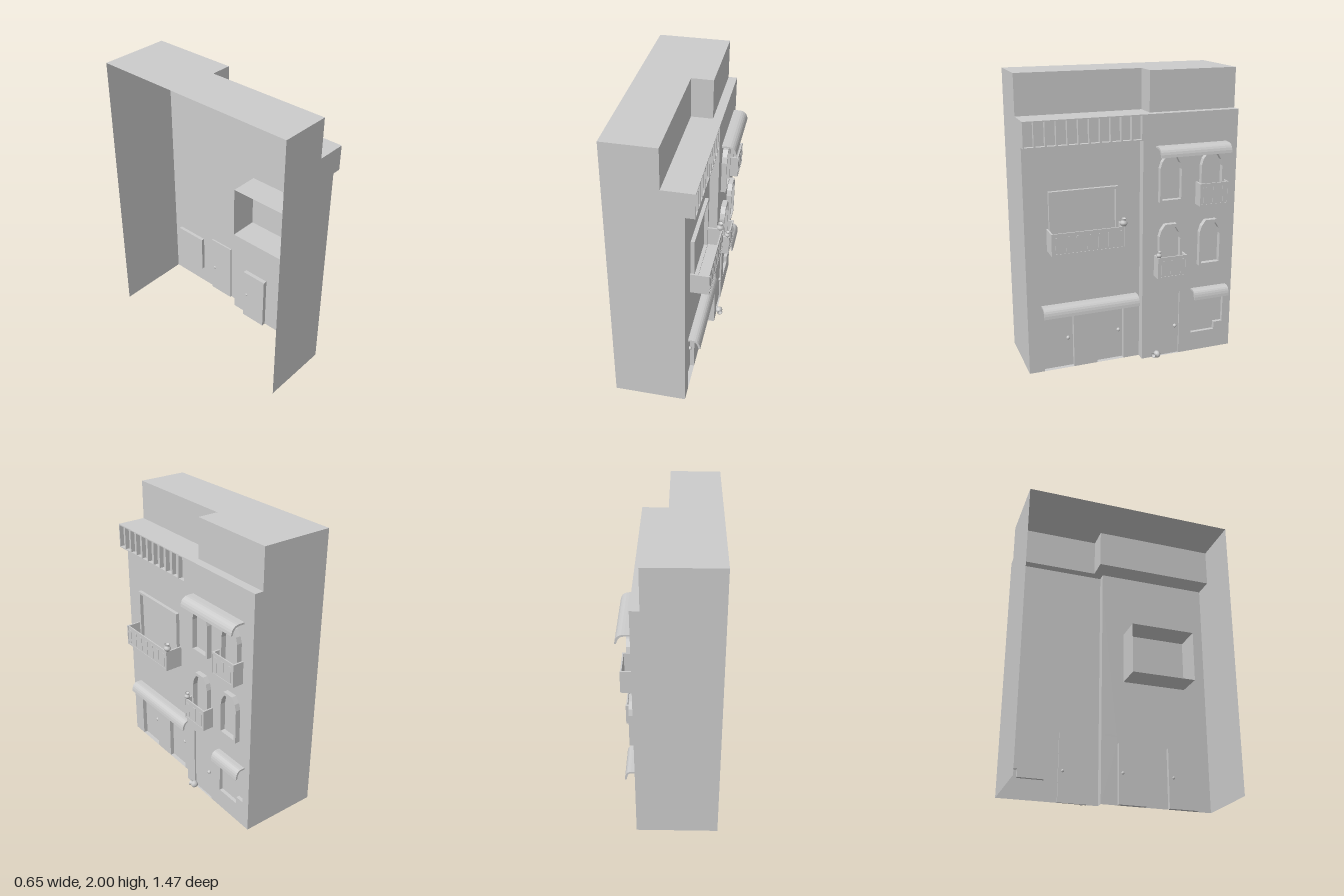
import * as THREE from 'three';

const mat = new THREE.MeshStandardMaterial({ color: 0xcccccc, side: THREE.DoubleSide, flatShading: true });
const smooth = new THREE.MeshStandardMaterial({ color: 0xcccccc, side: THREE.DoubleSide });

// Working frame: street front faces +z, width along x; turned to face +x at the end.
const W = 0.735, BACK = -0.325, ZL = 0.165, ZR = 0.225;

export function createModel() {
  const house = new THREE.Group();
  house.name = 'townHouse';

  const add = (name, geo, x = 0, y = 0, z = 0, material = mat) => {
    const m = new THREE.Mesh(geo, material);
    m.name = name;
    m.position.set(x, y, z);
    house.add(m);
    return m;
  };
  const outline = (pts, Type = THREE.Shape) => new Type(pts.map(p => new THREE.Vector2(p[0], p[1])));
  const rect = (x0, x1, y0, y1) => [[x0, y0], [x1, y0], [x1, y1], [x0, y1]];
  const flat = (pts, holes = []) => {
    const s = outline(pts);
    s.holes = holes.map(h => outline(h, THREE.Path));
    return new THREE.ShapeGeometry(s);
  };
  const solid = (pts, holes, depth) => {
    const s = outline(pts);
    s.holes = holes.map(h => outline(h, THREE.Path));
    return new THREE.ExtrudeGeometry(s, { depth, bevelEnabled: false });
  };
  const box = (name, x0, x1, y0, y1, z0, z1) =>
    add(name, new THREE.BoxGeometry(x1 - x0, y1 - y0, z1 - z0), (x0 + x1) / 2, (y0 + y1) / 2, (z0 + z1) / 2);
  // Uncapped band swept from z0 to z1 along a polyline
  const band = (pts, z0, z1, closed = true) => {
    const v = [];
    for (let i = 0; i < pts.length - (closed ? 0 : 1); i++) {
      const [ax, ay] = pts[i], [bx, by] = pts[(i + 1) % pts.length];
      v.push(ax, ay, z0, bx, by, z0, bx, by, z1, ax, ay, z0, bx, by, z1, ax, ay, z1);
    }
    const g = new THREE.BufferGeometry();
    g.setAttribute('position', new THREE.Float32BufferAttribute(v, 3));
    g.computeVertexNormals();
    return g;
  };
  const recess = (name, pts, zWall, depth) => {
    add(name + 'Reveal', band(pts, zWall - depth, zWall));
    add(name, flat(pts), 0, 0, zWall - depth);
  };

  // Side walls (the back and the underside are open)
  const sideL = [[BACK, 0], [ZL, 0], [ZL, 1.56], [ZR, 1.56], [ZR, 1.73], [0.02, 1.73], [0.02, 2], [BACK, 2]];
  const sideR = [[BACK, 0], [ZR, 0], [ZR, 1.73], [ZL, 1.73], [ZL, 2], [BACK, 2]];
  add('sideWallLeft', flat(sideL).rotateY(-Math.PI / 2), -W);
  add('sideWallRight', flat(sideR).rotateY(-Math.PI / 2), W);

  // Roof, terrace and the set-back top storey
  const setBack = [[-W, 0.02], [0.12, 0.02], [0.12, ZL], [W, ZL]];
  add('roof', flat([[-W, BACK], ...setBack, [W, BACK]]).rotateX(Math.PI / 2), 0, 2);
  add('terrace', flat([...setBack, [W, ZR], [-W, ZR]]).rotateX(Math.PI / 2), 0, 1.73);
  add('topStoreyWall', band(setBack, -2, -1.73, false).rotateX(Math.PI / 2));

  // Left street wall with two door openings and the shop panel between them
  const doors = [[-0.63, -0.42], [-0.255, -0.06]];
  const leftWall = [[-W, 0]];
  for (const [a, b] of doors) leftWall.push([a, 0], [a, 0.42], [b, 0.42], [b, 0]);
  leftWall.push([0.055, 0], [0.055, 1.56], [-W, 1.56]);
  add('leftStreetWall', flat(leftWall), 0, 0, ZL);
  for (const [a, b] of doors) recess('shopDoor', rect(a, b, 0, 0.42), ZL, 0.03);
  add('wallJog', band([[0.055, ZL], [0.055, ZR]], -1.56, 0, false).rotateX(Math.PI / 2));

  // Right street wall with door and stepped shop window
  const shopWindow = [[0.43, 0.14], [0.61, 0.14], [0.61, 0.195], [0.675, 0.195], [0.675, 0.425], [0.43, 0.425]];
  add('rightStreetWall', flat([[0.055, 0], [0.14, 0], [0.14, 0.475], [0.335, 0.475], [0.335, 0],
    [W, 0], [W, 1.73], [0.055, 1.73]], [shopWindow]), 0, 0, ZR);
  recess('houseDoor', rect(0.14, 0.335, 0, 0.475), ZR, 0.012);
  recess('shopWindow', shopWindow, ZR, 0.025);

  // Door knobs
  for (const [x, z] of [[-0.455, 0.142], [-0.09, 0.142], [0.305, 0.22]])
    add('doorKnob', new THREE.SphereGeometry(0.013, 12, 8), x, 0.213, z, smooth);

  // Crown with a row of sunken panels
  const slots = [];
  for (let i = 0; i < 11; i++) {
    const x = -0.727 + i * 0.0713;
    slots.push(rect(x, x + 0.06, 1.567, 1.723));
  }
  add('crownGrille', solid(rect(-W, 0.055, 1.56, 1.73), slots, 0.03), 0, 0, ZR - 0.03);
  box('crownBacking', -W, 0.055, 1.56, 1.73, ZL, ZR - 0.03);

  // Large window: frame outside, box casing inside
  const casing = rect(-0.57, -0.107, 0.885, 1.255);
  add('largeWindowFrame', solid(rect(-0.575, -0.105, 0.87, 1.265), [rect(-0.558, -0.122, 0.887, 1.248)], 0.025), 0, 0, ZL);
  add('largeWindowCasing', band(casing, -0.03, ZL));

  // Arched window frames
  const arch = (cx, y0, y1, w) => {
    const right = [[w, y1 - 0.082], [w * 0.85, y1 - 0.04], [w * 0.5, y1]];
    return [[-w, y0], [w, y0], ...right, ...right.map(([x, y]) => [-x, y]).reverse()].map(([x, y]) => [x + cx, y]);
  };
  for (const cx of [0.247, 0.545])
    for (const y of [0.66, 1.14])
      add('archedWindowFrame', solid(arch(cx, y, y + (y > 1 ? 0.315 : 0.325), 0.084),
        [arch(cx, y + 0.015, y + 0.302, 0.068)], 0.035), 0, 0, ZR);

  // Open-topped balconies with slim bars on the front
  const balcony = (x0, x1, y0, y1, z0, z1, bars) => {
    const t = 0.012;
    box('balconyFloor', x0, x1, y0, y0 + t, z0, z1);
    box('balconyEnd', x0, x0 + t, y0, y1, z0, z1);
    box('balconyEnd', x1 - t, x1, y0, y1, z0, z1);
    box('balconyFront', x0, x1, y0, y1, z1 - t, z1 - 0.003);
    for (let i = 0; i < bars; i++) {
      const x = x0 + (i + 0.5) * (x1 - x0) / bars;
      box('balconyBar', x - 0.012, x + 0.012, y0 + 0.025, y1 - 0.025, z1 - 0.005, z1);
    }
  };
  balcony(-0.59, -0.088, 0.867, 1.015, ZL, 0.29, 7);
  balcony(0.435, 0.648, 1.1, 1.255, ZR, 0.302, 3);
  balcony(0.138, 0.35, 0.618, 0.768, ZR, 0.302, 3);

  // Curved awnings
  const awning = (x0, x1, y, z, w, h) => {
    const t = 0.012, s = new THREE.Shape();
    s.moveTo(0, h);
    s.lineTo(w * 0.4, h);
    s.quadraticCurveTo(w * 0.95, h, w, 0);
    s.lineTo(w - t, 0);
    s.quadraticCurveTo(w * 0.9 - t, h - t, w * 0.4, h - t);
    s.lineTo(0, h - t);
    const g = new THREE.ExtrudeGeometry(s, { depth: x1 - x0, bevelEnabled: false, curveSegments: 6 });
    add('awning', g.rotateY(-Math.PI / 2), x1, y, z);
  };
  awning(-0.64, 0.03, 0.418, ZL, 0.083, 0.066);
  awning(0.42, 0.685, 0.418, ZR, 0.07, 0.066);
  awning(0.142, 0.65, 1.458, ZR, 0.1, 0.062);

  // Vases, one of them lying on the ground
  const profile = [[0, 0], [0.5, 0], [0.95, 0.55], [1, 0.95], [0.75, 1.4], [0.45, 1.65], [0.8, 2.1], [0.6, 2.1], [0.3, 1.65], [0, 1.6]];
  const vase = (r, x, y, z) => add('vase',
    new THREE.LatheGeometry(profile.map(p => new THREE.Vector2(p[0] * r, p[1] * r)), 14), x, y, z, smooth);
  vase(0.025, 0 - 0.098, 1.015, 0.272);
  vase(0.02, 0.15, 0.768, 0.288);
  const fallen = vase(0.026, 0.182, 0.027, 0.238);
  fallen.name = 'fallenVase';
  fallen.rotation.set(0, 0.35, Math.PI / 2);

  // Turn the street front toward +x
  house.rotation.y = Math.PI / 2;
  const model = new THREE.Group();
  model.name = 'building';
  model.add(house);
  return model;
}
